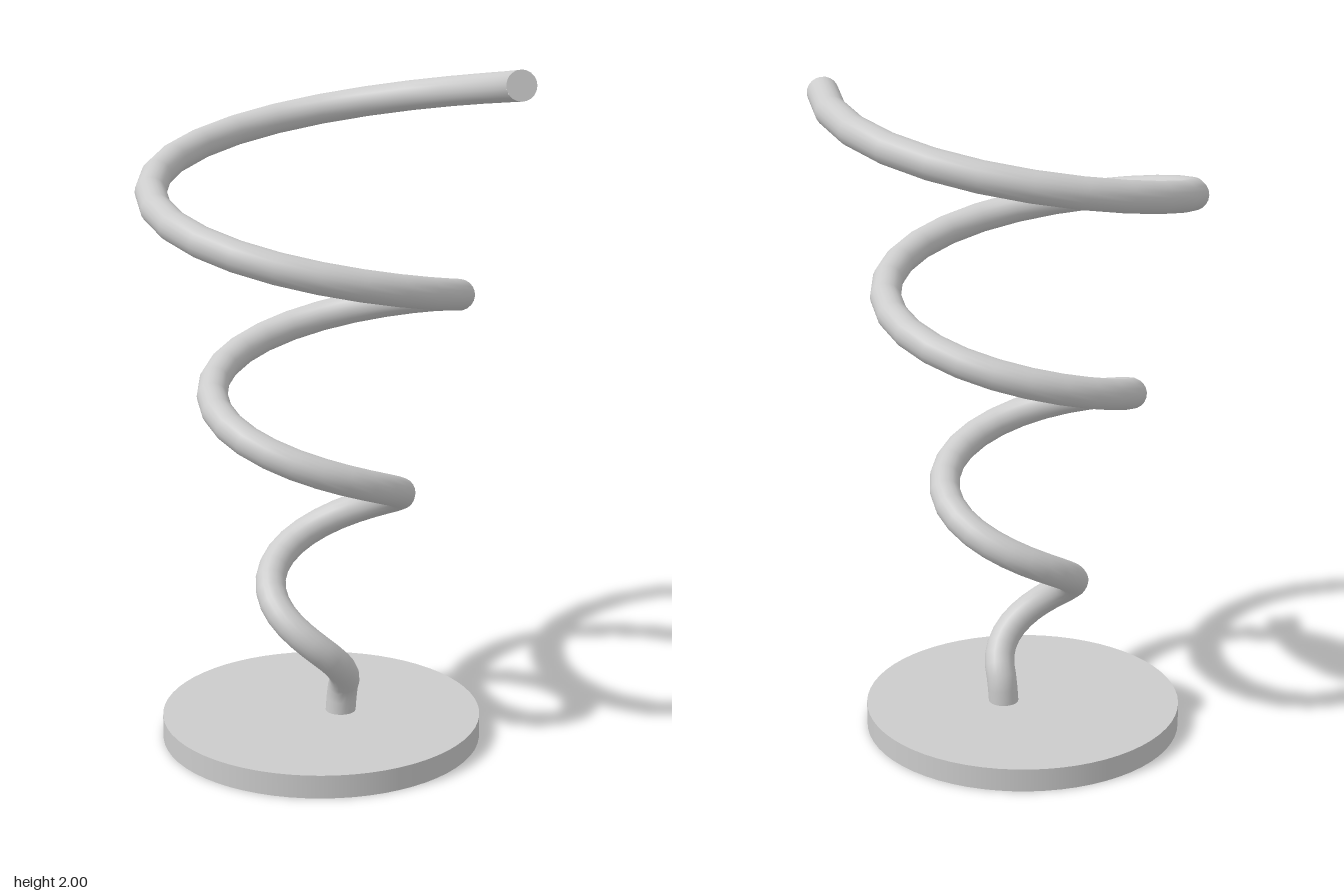
import * as THREE from 'three';

const CX = -0.043, CZ = 0.043;           // shared axis of base and spiral
const TURNS = 3, STEPS = 24;             // spiral turns, segments per turn
const R0 = 0.065, R1 = 0.565;            // spiral radius, bottom to top
const Y0 = 0.15, Y1 = 1.955;             // spiral height, bottom to top
const TUBE = 0.045, SIDES = 20;

// Conical helix rising from a short upright stem
function springPath() {
  const pts = [
    new THREE.Vector3(0.015, 0.065, 0.036),
    new THREE.Vector3(0.018, 0.11, 0.037),
  ];
  const n = TURNS * STEPS;
  for (let i = 0; i <= n; i++) {
    const t = i / n, a = t * TURNS * Math.PI * 2, r = R0 + (R1 - R0) * t;
    pts.push(new THREE.Vector3(CX + r * Math.cos(a), Y0 + (Y1 - Y0) * t, CZ + r * Math.sin(a)));
  }
  const curve = new THREE.CatmullRomCurve3(pts);
  // Sample evenly by angle instead of by arc length
  curve.getPointAt = (u, target) => curve.getPoint(u, target);
  curve.getTangentAt = (u, target) => curve.getTangent(u, target);
  return { curve, segments: pts.length - 1 };
}

export function createModel() {
  const group = new THREE.Group();
  const material = new THREE.MeshStandardMaterial({ color: 0xcccccc });
  const add = (name, geometry) => {
    const mesh = new THREE.Mesh(geometry, material);
    mesh.name = name;
    group.add(mesh);
    return mesh;
  };

  // Round base plate
  add('base', new THREE.CylinderGeometry(0.475, 0.475, 0.07, 64)).position.set(CX, 0.035, CZ);

  // Spiral wire
  const { curve, segments } = springPath();
  add('spring', new THREE.TubeGeometry(curve, segments, TUBE, SIDES, false));

  // Flat ends of the wire
  for (const [name, u, sign] of [['springBottomCap', 0, -1], ['springTopCap', 1, 1]]) {
    const cap = add(name, new THREE.CircleGeometry(TUBE, SIDES));
    const dir = curve.getTangent(u).multiplyScalar(sign);
    cap.position.copy(curve.getPoint(u));
    cap.quaternion.setFromUnitVectors(new THREE.Vector3(0, 0, 1), dir);
  }

  return group;
}
